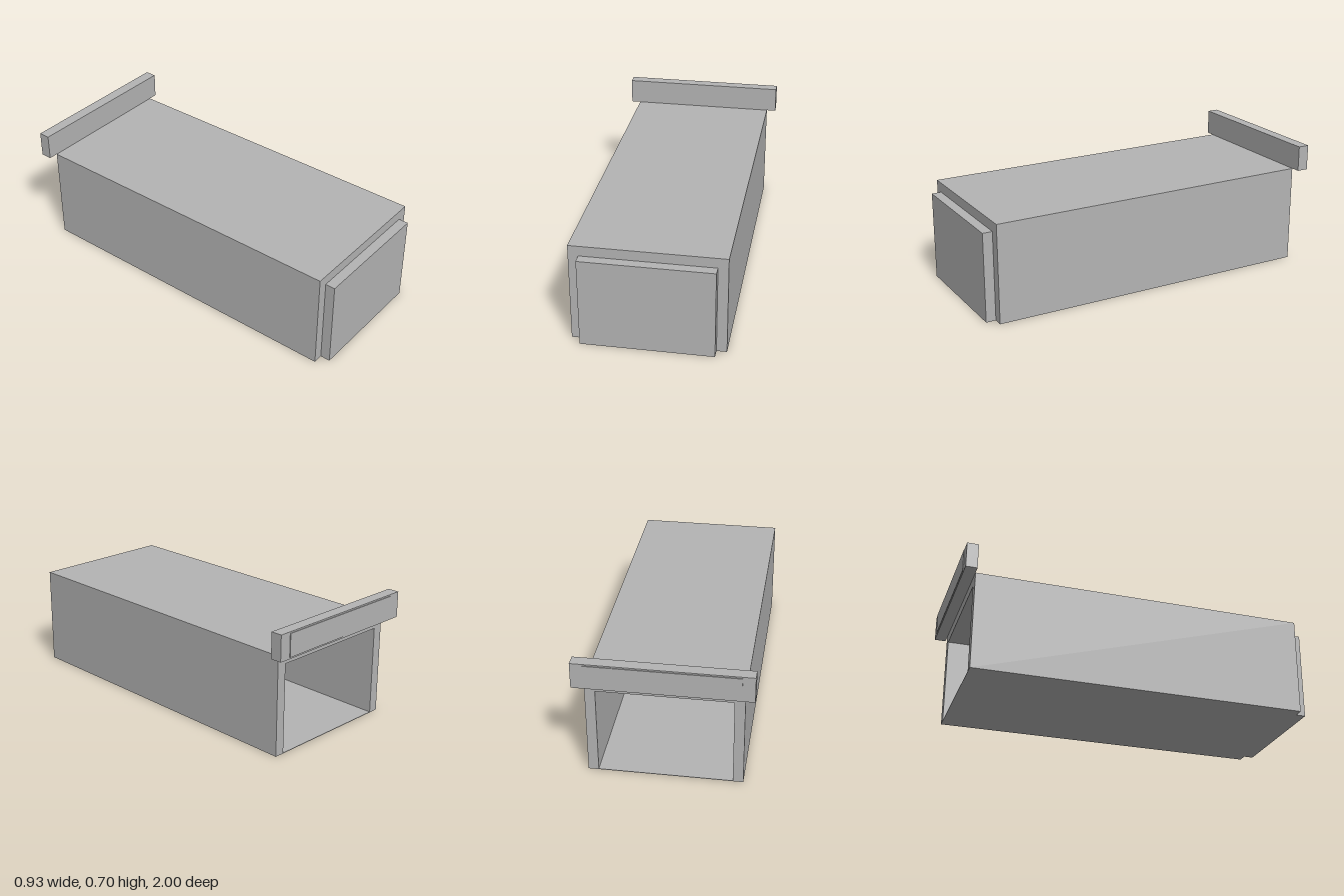
import * as THREE from 'three';

const grey = new THREE.MeshStandardMaterial({ color: 0xb4b4b4 });
grey.name = 'concrete grey';

// Box given by its minimum and maximum corners
function block(name, [x0, y0, z0], [x1, y1, z1]) {
  const mesh = new THREE.Mesh(new THREE.BoxGeometry(x1 - x0, y1 - y0, z1 - z0), grey);
  mesh.name = name;
  mesh.position.set((x0 + x1) / 2, (y0 + y1) / 2, (z0 + z1) / 2);
  return mesh;
}

export function createModel() {
  const model = new THREE.Group();
  model.name = 'corridor';

  const outer = 0.412, inner = 0.357, height = 0.556, ceiling = 0.5;
  const back = -0.932, front = 0.945, floorTop = 0.003;

  // Walls and roof as one extruded arch, open at the back
  const arch = new THREE.Shape([
    [-outer, 0], [-inner, 0], [-inner, ceiling], [inner, ceiling],
    [inner, 0], [outer, 0], [outer, height], [-outer, height],
  ].map(([x, y]) => new THREE.Vector2(x, y)));
  const shell = new THREE.Mesh(
    new THREE.ExtrudeGeometry(arch, { depth: front - back, bevelEnabled: false }), grey);
  shell.name = 'wallsAndRoof';
  shell.position.z = back;
  model.add(shell);

  // Thin floor between the walls
  model.add(block('floor', [-inner, 0, back], [inner, floorTop, front]));

  // Slab closing the front end
  model.add(block('frontSlab', [-inner, 0, front], [inner, ceiling, 1]));

  // Thin panel on the ceiling
  model.add(block('ceilingPanel', [-0.155, ceiling - 0.008, -0.39], [0.155, ceiling, 0.4]));

  // Sign beam above the back opening, with its raised face plate
  model.add(block('signBeam', [-0.465, height, -0.996], [0.465, 0.7, back]));
  model.add(block('signPlate', [-0.4, 0.565, -1], [0.4, 0.692, -0.996]));

  return model;
}
